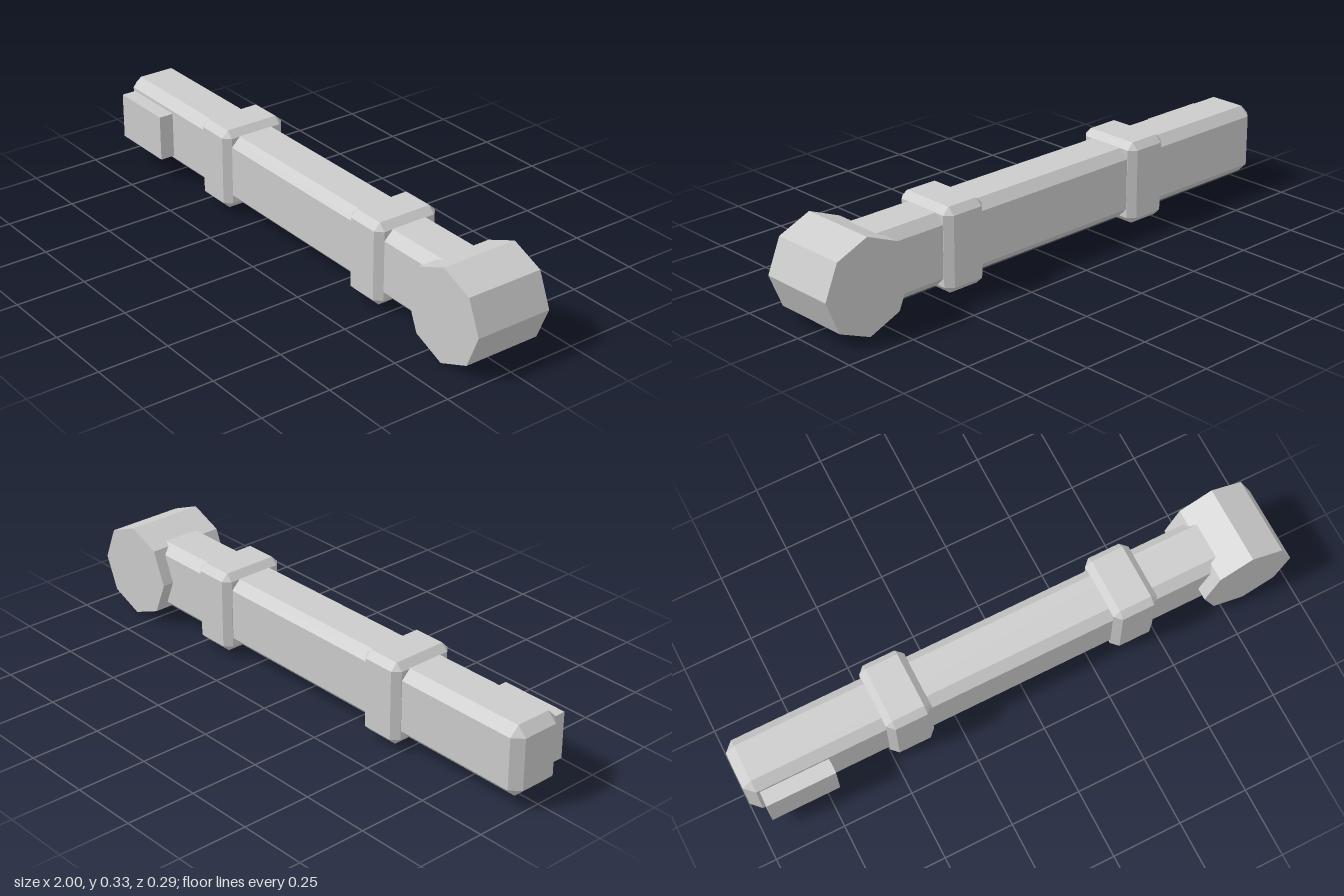
import * as THREE from 'three';
import { ConvexGeometry } from 'three/addons/geometries/ConvexGeometry.js';

const material = new THREE.MeshStandardMaterial({ color: 0xcccccc, flatShading: true });

// Box with every edge cut at 45 degrees
function chamferedBox(w, h, d, c) {
  const points = [];
  for (const sx of [-1, 1]) for (const sy of [-1, 1]) for (const sz of [-1, 1]) {
    const x = w / 2, y = h / 2, z = d / 2;
    points.push(
      new THREE.Vector3(sx * x, sy * (y - c), sz * (z - c)),
      new THREE.Vector3(sx * (x - c), sy * y, sz * (z - c)),
      new THREE.Vector3(sx * (x - c), sy * (y - c), sz * z)
    );
  }
  return new ConvexGeometry(points);
}

export function createModel() {
  const group = new THREE.Group();
  const add = (name, geometry, x, y, z) => {
    const mesh = new THREE.Mesh(geometry, material);
    mesh.name = name;
    mesh.position.set(x, y, z);
    group.add(mesh);
    return mesh;
  };

  // Long bar, its far end buried in the octagonal head
  add('bar', chamferedBox(1.82, 0.25, 0.198, 0.033), -0.09, 0.17, -0.006);

  // Two raised bands around the bar
  for (const [name, x] of [['rightBand', -0.42], ['leftBand', 0.415]]) {
    add(name, chamferedBox(0.164, 0.296, 0.248, 0.024), x, 0.17, -0.007);
  }

  // Octagonal head lying along z
  const head = new THREE.CylinderGeometry(0.167, 0.167, 0.283, 8);
  head.rotateX(Math.PI / 2);
  add('head', head, 0.833, 0.167, -0.0045);

  // Small plate on the front of the bar
  add('plate', new THREE.BoxGeometry(0.247, 0.166, 0.067), -0.833, 0.168, 0.1135);

  return group;
}
